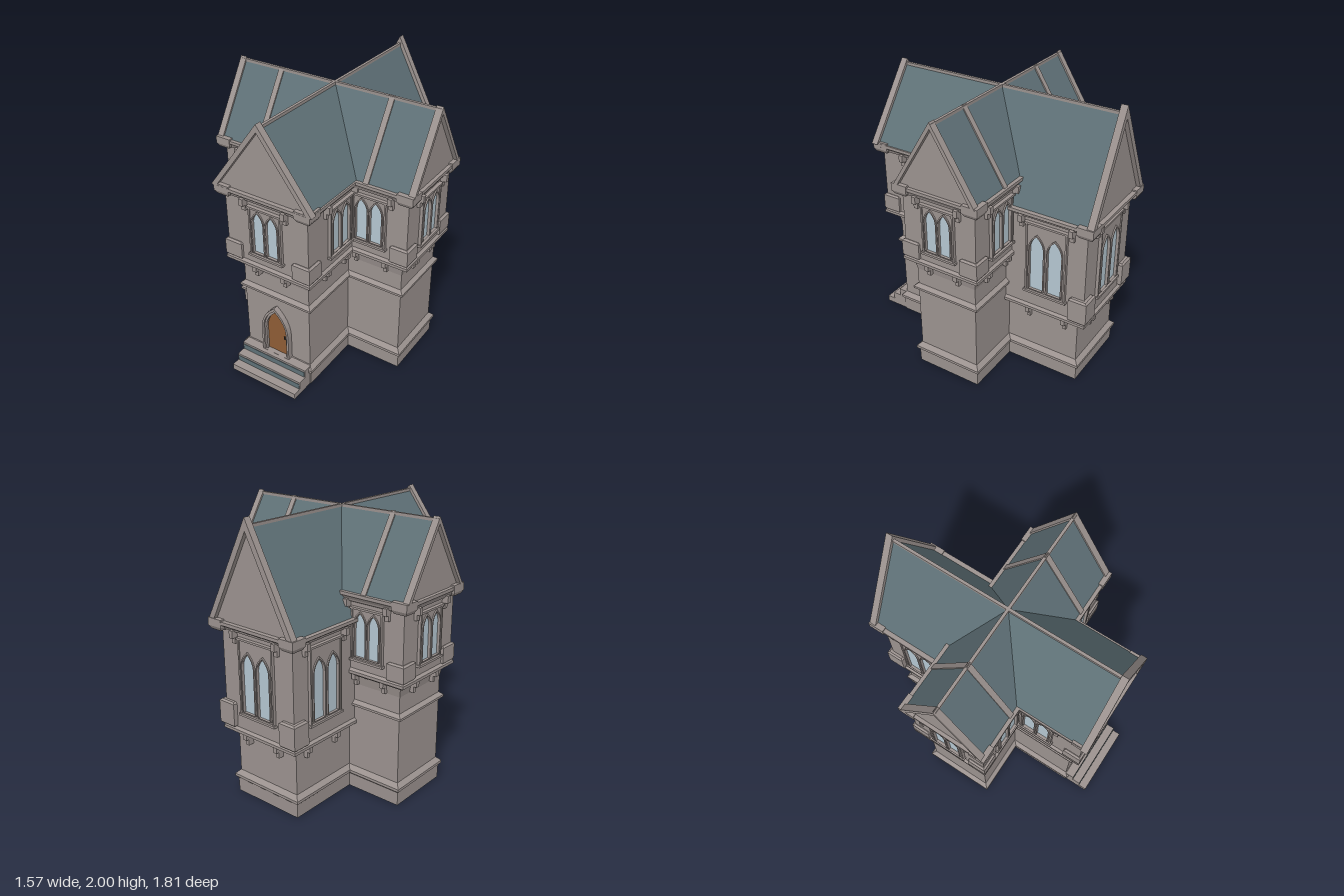
import * as THREE from 'three';

const mat = (name, color, side = THREE.FrontSide) => {
  const m = new THREE.MeshStandardMaterial({ color, side });
  m.name = name;
  return m;
};
const stone = mat('stone', 0x9c9390);
const slate = mat('slate', 0x5f7177);
const glass = mat('pale glass', 0xb6c8d2, THREE.DoubleSide);
const wood = mat('door wood', 0x8f5d36);
const iron = mat('dark iron', 0x3c3836);

function add(parent, name, geo, material, x = 0, y = 0, z = 0) {
  const m = new THREE.Mesh(geo, material);
  m.name = name;
  m.position.set(x, y, z);
  parent.add(m);
  return m;
}
const box = (parent, name, w, h, d, x, y, z, material = stone) =>
  add(parent, name, new THREE.BoxGeometry(w, h, d), material, x, y, z);

// Sweep a profile of [offset, y] around a right-angled plan of [x, z] corners
function loft(plan, profile, capBottom = true, capTop = true) {
  const n = plan.length, pos = [];
  const ring = ([off, y]) => plan.map((p, i) => {
    const a = plan[(i + n - 1) % n], b = plan[(i + 1) % n];
    const e1 = [Math.sign(p[0] - a[0]), Math.sign(p[1] - a[1])];
    const e2 = [Math.sign(b[0] - p[0]), Math.sign(b[1] - p[1])];
    return [p[0] - off * (e1[1] + e2[1]), y, p[1] + off * (e1[0] + e2[0])];
  });
  const rings = profile.map(ring);
  for (let k = 0; k + 1 < rings.length; k++) {
    for (let i = 0; i < n; i++) {
      const j = (i + 1) % n, [a, b, c, d] = [rings[k][i], rings[k][j], rings[k + 1][j], rings[k + 1][i]];
      pos.push(...a, ...b, ...c, ...a, ...c, ...d);
    }
  }
  const cap = (r, up) => {
    const pts = r.map(p => new THREE.Vector2(p[0], -p[2]));
    for (const [a, b, c] of THREE.ShapeUtils.triangulateShape(pts, []))
      pos.push(...r[a], ...r[up ? b : c], ...r[up ? c : b]);
  };
  if (capBottom) cap(rings[0], false);
  if (capTop) cap(rings[rings.length - 1], true);
  const g = new THREE.BufferGeometry();
  g.setAttribute('position', new THREE.Float32BufferAttribute(pos, 3));
  g.computeVertexNormals();
  return g;
}
const rect = (x0, x1, z0, z1) => [[x0, z1], [x1, z1], [x1, z0], [x0, z0]];

const extrude = (shape, depth) =>
  new THREE.ExtrudeGeometry(shape, { depth, bevelEnabled: false, curveSegments: 6 });

// Pointed arch outline standing on y
function arch(w, h, x = 0, y = 0, Type = THREE.Shape) {
  const s = new Type(), spring = y + h - w * 0.95;
  s.moveTo(x - w / 2, y);
  s.lineTo(x + w / 2, y);
  s.lineTo(x + w / 2, spring);
  s.quadraticCurveTo(x + w / 2, spring + w * 0.55, x, y + h);
  s.quadraticCurveTo(x - w / 2, spring + w * 0.55, x - w / 2, spring);
  return s;
}
function archRing(w, h, t) {
  const s = arch(w + 2 * t, h + 1.6 * t);
  s.holes.push(arch(w, h, 0, 0.001, THREE.Path));
  return s;
}

// Twin lancet window with surround, sill, eave brackets and corbels below
function windowBay(parent, x, z, turn, o) {
  const g = new THREE.Group();
  g.name = 'windowBay';
  g.position.set(x, 0, z);
  g.rotation.y = turn;
  parent.add(g);
  const panel = new THREE.Shape([[-o.half, o.y - 0.02], [o.half, o.y - 0.02], [o.half, o.top], [-o.half, o.top]]
    .map(p => new THREE.Vector2(...p)));
  for (const s of [-1, 1]) {
    const cx = s * o.gap;
    panel.holes.push(arch(o.w, o.h, cx, o.y, THREE.Path));
    add(g, 'windowGlass', new THREE.ShapeGeometry(arch(o.w, o.h, cx, o.y), 6), glass, 0, 0, 0.004);
    add(g, 'lancetFrame', extrude(archRing(o.w, o.h, 0.009), 0.024), stone, cx, o.y, 0);
    box(g, 'eaveBracket', 0.03, 0.05, 0.045, s * (o.half + 0.04), o.eave - 0.025, 0.0225);
    box(g, 'eaveBracketFoot', 0.03, 0.04, 0.022, s * (o.half + 0.04), o.eave - 0.07, 0.011);
    box(g, 'corbel', 0.03, 0.05, 0.075, s * o.corbel, o.base - 0.015, -0.03);
    box(g, 'corbelFoot', 0.026, 0.05, 0.045, s * o.corbel, o.base - 0.06, -0.04);
    box(g, 'windowJamb', 0.012, o.top - o.y + 0.02, 0.022, s * o.half, (o.top + o.y) / 2 - 0.01, 0.011);
  }
  add(g, 'windowPanel', extrude(panel, 0.014), stone);
  box(g, 'windowSill', o.half * 2 + 0.03, 0.016, 0.03, 0, o.y - 0.022, 0.015);
  box(g, 'windowHead', o.half * 2 + 0.03, 0.014, 0.026, 0, o.top, 0.013);
}

// Sloping V frame following a gable
function gableFrame(half, y0, apex, raise, inset, depth) {
  const k = (apex - y0) / half;
  const pts = [[half + raise, y0], [0, apex + raise * k], [-half - raise, y0],
    [-half + inset, y0], [0, apex - inset * k], [half - inset, y0]];
  return extrude(new THREE.Shape(pts.map(p => new THREE.Vector2(...p))), depth);
}

// Pitched roof running out along local +z, with stone gable and coping
function wingRoof(parent, name, turn, o) {
  const g = new THREE.Group();
  g.name = name;
  g.rotation.y = turn;
  parent.add(g);
  const tri = new THREE.Shape([[-o.half, o.y], [o.half, o.y], [0, 1.94]].map(p => new THREE.Vector2(...p)));
  add(g, 'roofSlopes', extrude(tri, o.end - 0.03), [stone, slate]);
  add(g, 'gableCoping', gableFrame(o.half, o.y, 1.94, o.raise, 0.015, 0.048), stone, 0, 0, o.end - 0.048);
  box(g, 'ridge', 0.02, 0.02, o.end - 0.01, 0, 1.94, (o.end - 0.01) / 2);
  if (o.strip) add(g, 'roofStrip', gableFrame(o.half, o.y, 1.94, 0.01, 0.01, 0.04), stone, 0, 0, 0.41);
}

// Buttress block and eave knob on an outer corner
function corner(parent, x, z, yBlock, hBlock, yEave) {
  const sx = Math.sign(x), sz = Math.sign(z);
  const at = (w, out) => {
    const ax = x + sx * out, az = z + sz * out, bx = ax - sx * w, bz = az - sz * w;
    return rect(Math.min(ax, bx), Math.max(ax, bx), Math.min(az, bz), Math.max(az, bz));
  };
  add(parent, 'cornerBlock', loft(at(0.1, 0), [[0.012, yBlock], [0.018, yBlock + 0.01],
    [0.018, yBlock + hBlock - 0.01], [0.004, yBlock + hBlock]]), stone);
  add(parent, 'eaveKnob', loft(at(0.09, 0.035), [[0, yEave - 0.07], [0.014, yEave - 0.045],
    [0.014, yEave + 0.008]]), stone);
}

export function createModel() {
  const model = new THREE.Group();
  model.name = 'gabledHouse';

  // Hollow ground floor on a cross-shaped plan
  const [fx, fz, sx, sz, bx, bz] = [0.265, 0.715, 0.685, 0.235, 0.265, 0.78];
  const cross = [[-fx, fz], [fx, fz], [fx, sz], [sx, sz], [sx, -sz], [bx, -sz], [bx, -bz],
    [-bx, -bz], [-bx, -sz], [-sx, -sz], [-sx, sz], [-fx, sz]];
  add(model, 'lowerWalls', loft(cross, [[-0.035, 0.9], [-0.035, 0.002], [0.012, 0.002], [0.014, 0.1],
    [0.03, 0.115], [0.03, 0.135], [0, 0.165], [0, 0.63], [0.026, 0.642], [0.026, 0.658], [0, 0.68],
    [0, 0.8], [0.015, 0.88]], false, false), stone);
  add(model, 'footing', loft(cross, [[-0.035, 0], [0.012, 0], [0.012, 0.002]], false, false), slate);

  // Jettied upper storeys
  const upper = (name, plan, y, eave, out) => add(model, name, loft(plan, [[-0.06, y - 0.04], [-0.01, y - 0.02],
    [0.018, y], [0.018, y + 0.02], [0, y + 0.035], [0, eave - 0.07], [0.02, eave - 0.06], [0.025, eave - 0.045],
    [out - 0.01, eave - 0.03], [out, eave - 0.022], [out, eave]]), stone);
  upper('sideWings', rect(-0.735, 0.735, -0.28, 0.28), 0.895, 1.462, 0.045);
  upper('frontWing', rect(-0.32, 0.32, 0, 0.785), 0.895, 1.462, 0.05);
  upper('backWing', rect(-0.31, 0.31, -0.84, -0.2), 0.505, 1.29, 0.062);

  // Roofs meeting at the crossing
  wingRoof(model, 'frontRoof', 0, { half: 0.36, y: 1.46, end: 0.835, raise: 0.025 });
  wingRoof(model, 'backRoof', Math.PI, { half: 0.34, y: 1.288, end: 0.9, raise: 0.03 });
  for (const s of [-1, 1])
    wingRoof(model, 'sideRoof', s * Math.PI / 2, { half: 0.3, y: 1.46, end: 0.785, raise: 0.014, strip: true });

  // Window bays on every upper wall
  const high = { y: 1.025, h: 0.305, w: 0.084, gap: 0.054, half: 0.12, top: 1.36, eave: 1.415, base: 0.89, corbel: 0.115 };
  const low = { y: 0.68, h: 0.42, w: 0.104, gap: 0.068, half: 0.147, top: 1.19, eave: 1.24, base: 0.5, corbel: 0.14 };
  windowBay(model, 0, 0.785, 0, high);
  windowBay(model, 0, -0.84, Math.PI, low);
  for (const s of [-1, 1]) {
    const turn = s * Math.PI / 2;
    windowBay(model, s * 0.735, 0, turn, high);
    windowBay(model, s * 0.32, 0.44, turn, high);
    windowBay(model, s * 0.31, -0.55, turn, low);
    windowBay(model, s * 0.455, 0.28, 0, high);
    windowBay(model, s * 0.455, -0.28, Math.PI, high);
    corner(model, s * 0.32, 0.785, 0.925, 0.125, 1.465);
    corner(model, s * 0.735, 0.28, 0.925, 0.125, 1.465);
    corner(model, s * 0.735, -0.28, 0.925, 0.125, 1.465);
    corner(model, s * 0.325, -0.855, 0.545, 0.175, 1.292);
  }

  // Arched door
  const door = new THREE.Group();
  door.name = 'frontDoor';
  door.position.set(0, 0.16, 0);
  model.add(door);
  add(door, 'doorLeaf', extrude(arch(0.165, 0.355), 0.05), wood, 0, 0, 0.67);
  add(door, 'doorInnerMoulding', extrude(archRing(0.165, 0.355, 0.015), 0.03), stone, 0, 0, 0.71);
  add(door, 'doorOuterMoulding', extrude(archRing(0.193, 0.378, 0.016), 0.045), stone, 0, 0, 0.71);
  box(door, 'doorHandle', 0.01, 0.025, 0.008, 0.06, 0.15, 0.723, iron);

  // Front steps with slate risers
  [[0.91, 0.045], [0.848, 0.1], [0.785, 0.16]].forEach(([z, top], i) => {
    box(model, 'step', 0.54, top, z - 0.69, 0, top / 2, (z + 0.69) / 2);
    if (i) box(model, 'stepRiser', 0.53, 0.04, 0.006, 0, top - 0.035, z, slate);
  });
  return model;
}
